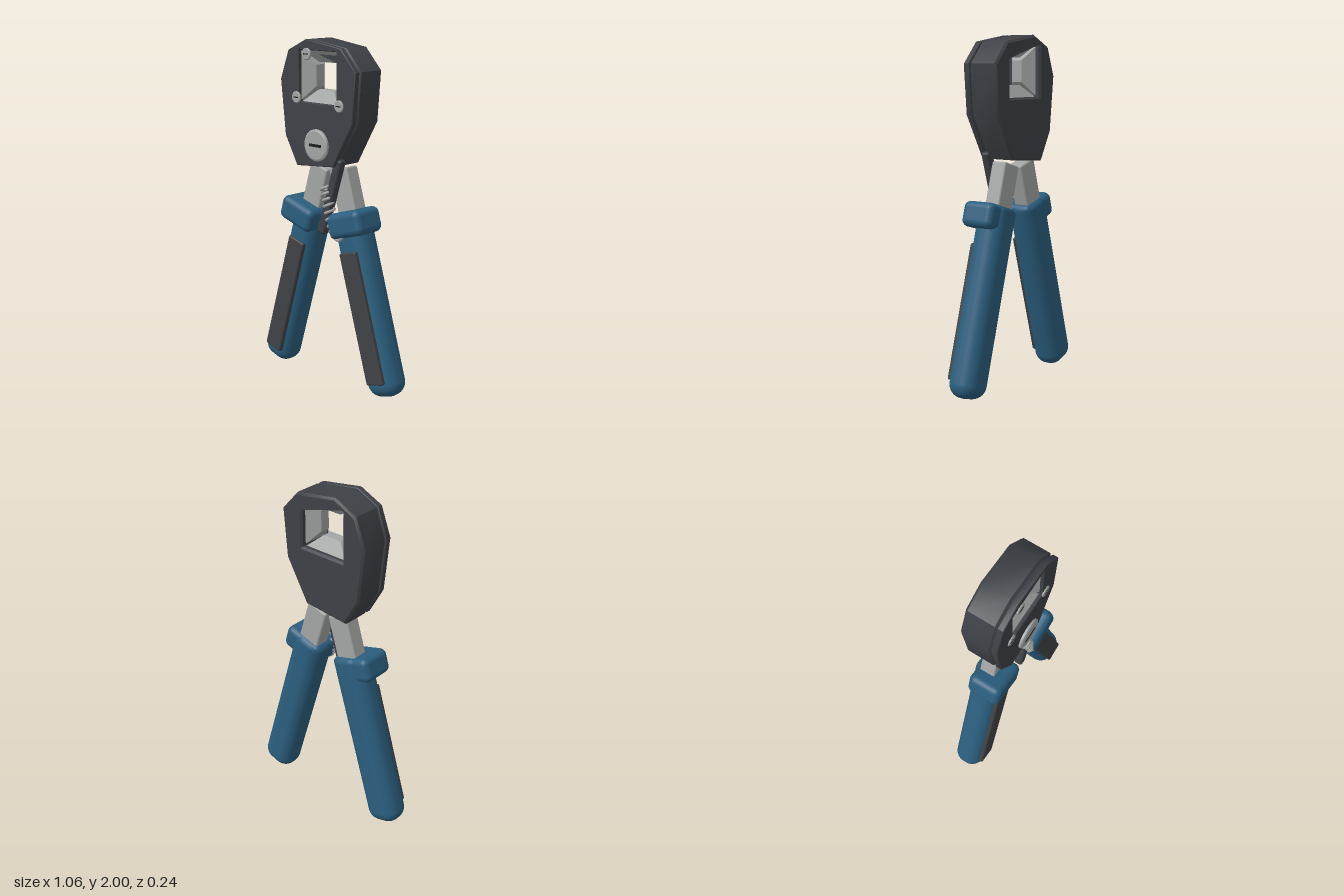
import * as THREE from 'three';
import { toCreasedNormals } from 'three/addons/utils/BufferGeometryUtils.js';
import { RoundedBoxGeometry } from 'three/addons/geometries/RoundedBoxGeometry.js';
import { ConvexGeometry } from 'three/addons/geometries/ConvexGeometry.js';

const material = (name, color) => {
  const m = new THREE.MeshStandardMaterial({ color });
  m.name = name;
  return m;
};

export function createModel() {
  const housing = material('charcoal housing', 0x3e4147);
  const rubber = material('dark rubber', 0x3f4245);
  const blue = material('blue grip', 0x2b5e7e);
  const steel = material('steel', 0xa3a5a5);
  const black = material('slot black', 0x1c1d1f);

  const model = new THREE.Group();
  model.name = 'handTool';
  const add = (parent, name, geometry, mat, x = 0, y = 0, z = 0) => {
    const mesh = new THREE.Mesh(geometry, mat);
    mesh.name = name;
    mesh.position.set(x, y, z);
    parent.add(mesh);
    return mesh;
  };

  // Head: faceted outline with a square window, as a thick body and a front plate
  const outline = [[-0.09, 2], [0.175, 1.96], [0.285, 1.84], [0.262, 1.56], [0.12, 1.31],
    [-0.165, 1.285], [-0.258, 1.45], [-0.293, 1.77], [-0.23, 1.935]];
  const cy = 1.797, half = 0.144;
  const toPoints = (list) => list.map(([x, y]) => new THREE.Vector2(x, y));
  const headSlab = (z0, z1, bevel) => {
    const shape = new THREE.Shape(toPoints(outline));
    shape.holes.push(new THREE.Path(toPoints([[-half, cy - half], [half, cy - half],
      [half, cy + half], [-half, cy + half]])));
    const geo = new THREE.ExtrudeGeometry(shape, {
      depth: z1 - z0 - 2 * bevel, bevelEnabled: true, bevelSegments: 1,
      bevelSize: bevel, bevelThickness: bevel, bevelOffset: -bevel,
    });
    geo.translate(0, 0, z0 + bevel);
    return toCreasedNormals(geo, 0.7);
  };
  add(model, 'headBody', headSlab(-0.118, 0.062, 0.012), housing);
  add(model, 'headFrontPlate', headSlab(0.064, 0.1, 0.004), housing);

  // Four wedge jaws pointing at the centre of the window
  const wedge = [];
  for (const s of [-1, 1]) {
    for (const z of [-1, 1]) {
      wedge.push(new THREE.Vector3(s * 0.14, 0.147, z * 0.085));
      wedge.push(new THREE.Vector3(s * 0.06, 0.077, z * 0.03));
    }
  }
  for (let i = 0; i < 4; i++) {
    add(model, 'jaw', new ConvexGeometry(wedge), steel, 0, cy, -0.003).rotation.z = i * Math.PI / 2;
  }

  // Slotted pivot cap and three small screws
  const slottedScrew = (name, x, y, r, height) => {
    const group = new THREE.Group();
    group.name = name;
    group.position.set(x, y, 0.098);
    const profile = [[0, 0], [r, 0], [r, height * 0.7], [r * 0.88, height], [0, height]];
    const cap = toCreasedNormals(new THREE.LatheGeometry(toPoints(profile), 32), 0.5);
    add(group, 'screwCap', cap, steel).rotation.x = Math.PI / 2;
    add(group, 'screwSlot', new THREE.BoxGeometry(r * 1.05, r * 0.18, 0.004), black, 0, 0, height);
    model.add(group);
  };
  slottedScrew('pivotCap', 0, 1.42, 0.09, 0.02);
  slottedScrew('plateScrew', -0.08, 1.92, 0.033, 0.01);
  slottedScrew('plateScrew', -0.162, 1.675, 0.033, 0.01);
  slottedScrew('plateScrew', 0.168, 1.652, 0.033, 0.01);

  // Two splayed arms: shank, grip, collar and pad
  for (const s of [-1, 1]) {
    const arm = new THREE.Group();
    arm.name = s > 0 ? 'leftArm' : 'rightArm';
    arm.position.set(s * 0.313, 0.463, 0);
    arm.rotation.z = s * 0.29;
    add(arm, 'shank', new RoundedBoxGeometry(0.138, 0.36, 0.095, 3, 0.012), steel, s * 0.005, 0.675, -0.033);

    // The grip is fully rounded below and flatter at its upper end
    const grip = new RoundedBoxGeometry(0.212, 1.08, 0.18, 8, 0.08);
    const pos = grip.attributes.position;
    for (let i = 0; i < pos.count; i++) {
      const y = pos.getY(i);
      if (y > 0.4) pos.setY(i, 0.54 - (0.54 - y) * 0.35);
    }
    add(arm, 'grip', grip, blue, 0, 0.07, -0.028);
    add(arm, 'collar', new RoundedBoxGeometry(0.255, 0.145, 0.205, 6, 0.038), blue, s * 0.033, 0.54, 0);
    add(arm, 'gripPad', new RoundedBoxGeometry(0.127, 0.768, 0.04, 3, 0.012), rubber, 0, 0, 0.057);
    model.add(arm);
  }

  // Release lever
  add(model, 'lever', new RoundedBoxGeometry(0.056, 0.465, 0.05, 4, 0.014), housing, 0.067, 1.13, 0.055)
    .rotation.z = -0.305;

  // Return spring wound around a bent centre line
  const axis = new THREE.CatmullRomCurve3([[0.03, 1.185], [0.055, 1.09], [0.082, 0.98], [0.125, 0.905]]
    .map(([x, y]) => new THREE.Vector3(x, y, 0.066)));
  const turns = 9, coil = [];
  for (let i = 0; i <= turns * 12; i++) {
    const t = i / (turns * 12), a = t * turns * Math.PI * 2;
    const p = axis.getPoint(t), d = axis.getTangent(t);
    const side = new THREE.Vector3(-d.y, d.x, 0);
    p.addScaledVector(side, Math.cos(a) * 0.03);
    p.z += Math.sin(a) * 0.026;
    coil.push(p);
  }
  add(model, 'spring', new THREE.TubeGeometry(new THREE.CatmullRomCurve3(coil), 260, 0.0085, 6), steel);

  // Spring hook tucked under the collar
  const hook = new THREE.CatmullRomCurve3([[0.09, 0.93], [0.11, 0.9], [0.145, 0.893], [0.17, 0.92]]
    .map(([x, y]) => new THREE.Vector3(x, y, 0.07)));
  add(model, 'springHook', new THREE.TubeGeometry(hook, 16, 0.012, 8), steel);

  return model;
}
